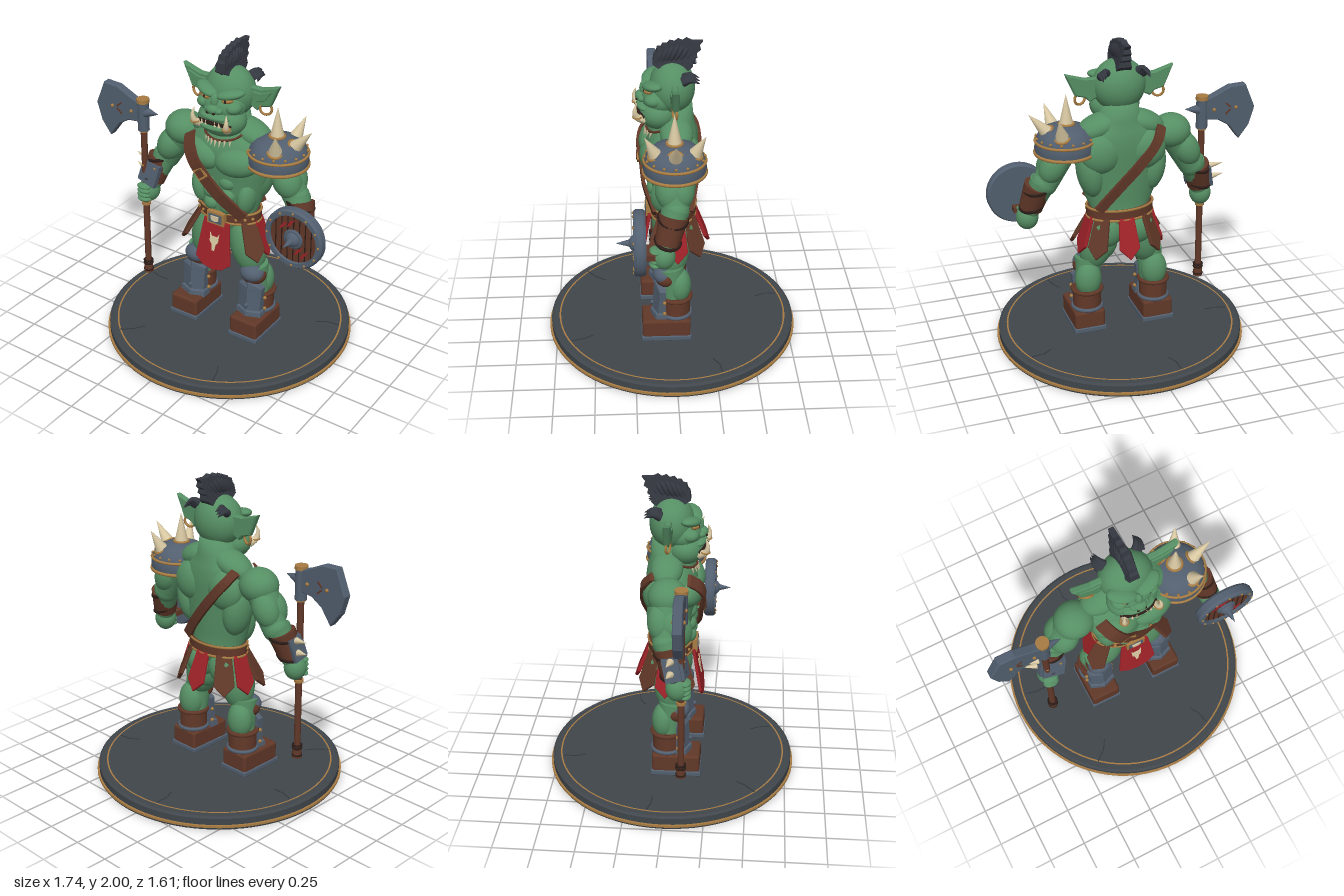
import * as THREE from 'three';
import { toCreasedNormals } from 'three/addons/utils/BufferGeometryUtils.js';
import { RoundedBoxGeometry } from 'three/addons/geometries/RoundedBoxGeometry.js';

const V = (x, y, z) => new THREE.Vector3(x, y, z);
const mat = (name, color) => Object.assign(new THREE.MeshStandardMaterial({ color }), { name });

// Closed skin over cross-sections; each ring turns right-handed about the direction of travel
function skin(rings, flat) {
  const n = rings[0].length, pos = [], idx = [];
  rings.forEach(r => r.forEach(p => pos.push(p.x, p.y, p.z)));
  for (let i = 0; i < rings.length - 1; i++) for (let j = 0; j < n; j++) {
    const a = i * n + j, b = i * n + (j + 1) % n;
    idx.push(a, b, a + n, b, b + n, a + n);
  }
  const e = (rings.length - 1) * n;
  for (let j = 1; j < n - 1; j++) idx.push(0, j + 1, j, e, e + j, e + j + 1);
  let g = new THREE.BufferGeometry();
  g.setAttribute('position', new THREE.Float32BufferAttribute(pos, 3));
  g.setIndex(idx);
  if (flat) g = g.toNonIndexed();
  g.computeVertexNormals();
  return g;
}
const shape = pts => new THREE.Shape(pts.map(p => new THREE.Vector2(...p)));
function plate(pts, depth, bevel = 0) {
  const g = new THREE.ExtrudeGeometry(shape(pts), { depth, bevelEnabled: bevel > 0, bevelSize: bevel, bevelThickness: bevel, bevelSegments: 1 });
  return g.translate(0, 0, -depth / 2);
}
// Tube that narrows to a point
function horn(pts, r) {
  const c = new THREE.CatmullRomCurve3(pts), n = 10, m = 10, g = new THREE.TubeGeometry(c, n, r, m), p = g.attributes.position;
  for (let i = 0; i <= n; i++) for (let j = 0; j <= m; j++) {
    const k = i * (m + 1) + j, v = new THREE.Vector3().fromBufferAttribute(p, k).lerp(c.getPointAt(i / n), 0.97 * (i / n) ** 1.5);
    p.setXYZ(k, v.x, v.y, v.z);
  }
  g.computeVertexNormals();
  return g;
}
// Flat strap along a path
function ribbon(pts, width, thick) {
  const c = new THREE.CatmullRomCurve3(pts), N = V(0, 0, 1), rings = [];
  for (let i = 0; i <= 14; i++) {
    const p = c.getPoint(i / 14), d = c.getTangent(i / 14).setZ(0).normalize(), S = N.clone().cross(d);
    rings.push([[1, -1], [1, 1], [-1, 1], [-1, -1]].map(([s, t]) =>
      p.clone().addScaledVector(S, s * width / 2).addScaledVector(N, t * thick / 2)));
  }
  return skin(rings, true);
}

export function createModel() {
  const green = mat('skin green', 0x568f64), slate = mat('steel', 0x525f6f), stone = mat('stone', 0x40464b),
    hair = mat('hair', 0x343840), brown = mat('leather', 0x613828), dark = mat('dark', 0x2b1c18),
    gold = mat('brass', 0xa87c42), red = mat('red cloth', 0x9e2228), ivory = mat('ivory', 0xd8c8a2);
  const root = new THREE.Group(), body = new THREE.Group();
  root.add(body); body.position.x = 0.06; body.name = 'warrior';

  const add = (name, g, m, p = [0, 0, 0], r = [0, 0, 0], s = [1, 1, 1], parent = body) => {
    const o = new THREE.Mesh(g, m);
    o.name = name; o.position.set(...p); o.rotation.set(...r); o.scale.set(...s);
    parent.add(o); return o;
  };
  const unit = new THREE.SphereGeometry(1, 24, 16), stud = new THREE.SphereGeometry(1, 8, 6);
  const ball = (name, m, p, s, r) => add(name, unit, m, p, r, s);
  const box = (name, m, p, s, r) => add(name, new THREE.BoxGeometry(...s), m, p, r);
  const dot = (name, m, p, r) => add(name, stud, m, p, [0, 0, 0], [r, r, r]);
  const ring = (name, m, p, r, tube, rot = [Math.PI / 2, 0, 0], s) => add(name, new THREE.TorusGeometry(r, tube, 8, 40), m, p, rot, s);
  const link = (name, m, a, b, r1, r2, seg = 20) => {
    const A = V(...a), B = V(...b), d = B.clone().sub(A);
    const o = add(name, new THREE.CylinderGeometry(r2, r1, d.length(), seg), m, A.clone().add(B).multiplyScalar(0.5).toArray());
    o.quaternion.setFromUnitVectors(V(0, 1, 0), d.normalize());
    return o;
  };

  // Display base with brass rims and cracks
  const disc = (name, m, r1, r2, y, h) => add(name, new THREE.CylinderGeometry(r2, r1, h, 72), m, [0, y, 0]);
  disc('baseFoot', stone, 0.795, 0.8, 0.008, 0.016);
  disc('baseRim', gold, 0.803, 0.803, 0.021, 0.014);
  disc('baseSlab', stone, 0.79, 0.79, 0.047, 0.046);
  disc('baseTop', stone, 0.79, 0.775, 0.075, 0.01);
  add('baseInlay', new THREE.RingGeometry(0.73, 0.74, 72), gold, [0, 0.082, 0], [-Math.PI / 2, 0, 0]);
  [[-.16, -.7, -.16, -.62, -.13, -.56], [.67, -.28, .59, -.27, .53, -.23], [-.71, -.1, -.64, -.08, -.57, -.08],
    [-.37, .44, -.41, .5, -.48, .56], [.26, .52, .29, .57, .31, .65]].forEach(c => {
    for (const k of [0, 2]) {
      const dx = c[k + 2] - c[k], dz = c[k + 3] - c[k + 1];
      box('crack', hair, [c[k] + dx / 2, 0.081, c[k + 1] + dz / 2], [Math.hypot(dx, dz), 0.004, 0.007], [0, -Math.atan2(dz, dx), 0]);
    }
  });

  // Torso
  const torso = [[.8, .16, .11, -.01], [.86, .19, .13, -.01], [.93, .195, .13, 0], [1, .225, .135, 0], [1.1, .25, .14, 0], [1.2, .28, .15, .005],
    [1.3, .3, .16, .005], [1.38, .28, .155, 0], [1.44, .2, .135, -.01], [1.5, .13, .12, -.01], [1.6, .11, .11, -.01]];
  add('torso', skin(torso.map(([y, rx, rz, cz]) => Array.from({ length: 40 }, (_, j) => {
    const t = j * Math.PI / 20; return V(rx * Math.sin(t), y, cz + rz * Math.cos(t));
  }))), green);

  for (const s of [-1, 1]) {
    // Muscles
    ball('pec', green, [s * .125, 1.295, .115], [.145, .095, .085], [0, s * .2, s * .12]);
    [[1.14, .06], [1.05, .058], [.97, .052]].forEach(([y, r]) => ball('abdominal', green, [s * .058, y, .115], [r, .05, .045]));
    ball('oblique', green, [s * .165, 1.04, .06], [.06, .12, .08], [0, 0, -s * .15]);
    ball('lat', green, [s * .2, 1.17, -.04], [.085, .17, .1], [0, 0, -s * .15]);
    ball('shoulderBlade', green, [s * .14, 1.3, -.09], [.13, .13, .08], [0, 0, s * .3]);
    ball('trapezius', green, [s * .14, 1.455, -.02], [.15, .075, .1], [0, 0, -s * .35]);
    ball('deltoid', green, [s * .34, 1.36, 0], [.125, .11, .12]);
    // Arms
    link('upperArm', green, [s * .36, 1.34, 0], [s * .475, 1.12, 0], .1, .08);
    ball('biceps', green, [s * .425, 1.23, .025], [.09, .12, .095], [0, 0, s * .45]);
    ball('triceps', green, [s * .43, 1.24, -.035], [.085, .12, .08], [0, 0, s * .45]);
    ball('elbow', green, [s * .48, 1.12, 0], [.083, .085, .08]);
    link('forearm', green, [s * .485, 1.13, .005], [s * .565, .92, .06], .083, .06);
    link('bracer', brown, [s * .515, 1.105, .015], [s * .558, .945, .055], .088, .074);
    ring('bracerBand', dark, [s * .518, 1.09, .018], .084, .011, [Math.PI / 2 - .2, -s * .25, 0]);
    ring('bracerBand', dark, [s * .553, .96, .05], .073, .011, [Math.PI / 2 - .2, -s * .25, 0]);
    ball('hand', green, [s * .578, .872, .075], [.07, .08, .07]);
    for (let i = 0; i < 4; i++) ball('finger', green, [s * .583, .825 + i * .03, .125], [.05, .018, .035]);
    // Legs
    ball('glute', green, [s * .1, .77, -.05], [.11, .12, .1]);
    ball('thigh', green, [s * .145, .685, .01], [.115, .21, .115], [0, 0, s * .22]);
    ball('innerThigh', green, [s * .1, .7, 0], [.085, .15, .1]);
    link('shin', green, [s * .22, .25, -.01], [s * .205, .56, .02], .07, .085);
    ball('calf', green, [s * .222, .43, -.035], [.085, .12, .075]);
    ball('kneePad', brown, [s * .212, .495, .045], [.087, .07, .075]);
    ball('kneeCap', slate, [s * .212, .512, .062], [.082, .062, .07]);
    // Boots and greaves
    add('boot', new RoundedBoxGeometry(.2, .125, .305, 3, .018), brown, [s * .23, .162, .048]);
    add('sole', new RoundedBoxGeometry(.212, .035, .318, 2, .008), slate, [s * .23, .095, .048]);
    link('bootCuff', brown, [s * .225, .21, -.015], [s * .225, .36, -.015], .092, .088);
    ring('cuffBand', brown, [s * .225, .355, -.015], .092, .014);
    ring('cuffBand', slate, [s * .225, .235, -.015], .092, .013);
    for (const y of [.27, .35]) for (const k of [-1, 1]) dot('greaveBuckle', gold, [s * .217 + k * .092, y, .06], .012);
    const gx = s * .217;
    add('greave', skin([[.215, .092, .15], [.255, .088, .145], [.262, .078, .135], [.34, .08, .13], [.425, .086, .125], [.462, .035, .12]]
      .map(([y, w, f]) => [V(gx, y, f), V(gx + w, y, f - .035), V(gx + w, y, .05), V(gx - w, y, .05), V(gx - w, y, f - .035)]), true), slate);
    dot('greaveStud', slate, [gx, .3, .135], .014);
  }

  // Belt and buckle
  add('belt', new THREE.CylinderGeometry(1, 1, .07, 48), brown, [0, .89, -.005], [0, 0, 0], [.215, 1, .145]);
  for (const y of [.858, .924]) ring('beltTrim', gold, [0, y, -.005], 1, .035, [Math.PI / 2, 0, 0], [.214, .145, .25]);
  for (let i = -4; i <= 4; i++) if (Math.abs(i) > 1) {
    const a = i * .3; dot('beltStud', gold, [Math.sin(a) * .216, .89, Math.cos(a) * .146 - .005], .011);
  }
  box('buckleFrame', gold, [0, .885, .15], [.125, .085, .03]);
  box('buckleFace', slate, [0, .885, .163], [.096, .06, .012]);
  add('buckleFang', plate([[-.03, .02], [.03, .02], [.025, -.012], [0, -.02], [-.025, -.012]], .008), ivory, [0, .885, .171]);

  // Loincloth with a skull patch
  const cloth = new THREE.Group(); cloth.name = 'loincloth'; cloth.position.set(0, .86, .145); cloth.rotation.x = -.17; body.add(cloth);
  add('clothPanel', plate([[-.09, 0], [-.125, -.27], [-.07, -.315], [0, -.33], [.07, -.315], [.125, -.27], [.09, 0]], .012, .003), red, [0, 0, 0], [0, 0, 0], [1, 1, 1], cloth);
  add('clothPatch', plate([[-.034, -.08], [-.02, -.105], [.02, -.105], [.034, -.08], [.03, -.14], [.014, -.16], [.008, -.2], [-.008, -.2], [-.014, -.16], [-.03, -.14]], .006), ivory, [0, 0, .012], [0, 0, 0], [1, 1, 1], cloth);

  // Hanging strips around the hips
  [[1.08, brown, .5], [-1.08, brown, .5], [1.66, red, .3], [-1.66, red, .3], [2.35, brown, .36], [-2.35, brown, .36], [Math.PI, red, .36]].forEach(([a, m, tilt]) => {
    const o = add('hipStrip', plate([[-.045, 0], [-.062, -.19], [0, -.255], [.062, -.19], [.045, 0]], .014, .004), m,
      [Math.sin(a) * .2, .865, Math.cos(a) * .135 - .005]);
    o.rotation.set(-tilt, a, 0, 'YXZ');
  });

  // Chest strap, front and back
  add('chestStrap', ribbon([V(-.215, 1.41, .12), V(-.175, 1.35, .185), V(-.12, 1.265, .208), V(-.06, 1.17, .192), V(.05, 1.055, .175), V(.175, .925, .115)], .085, .02), brown);
  box('strapBuckle', gold, [-.08, 1.2, .207], [.075, .075, .014], [0, 0, .7]);
  box('strapBuckleFace', brown, [-.08, 1.2, .212], [.05, .05, .014], [0, 0, .7]);
  add('backStrap', ribbon([V(-.24, 1.44, -.1), V(-.2, 1.37, -.155), V(-.1, 1.25, -.175), V(.05, 1.08, -.15), V(.17, .93, -.11)], .06, .025), brown);

  // Head
  ball('cranium', green, [0, 1.7, 0], [.165, .165, .138]);
  ball('jaw', green, [0, 1.55, .085], [.158, .11, .122]);
  ball('face', green, [0, 1.64, .07], [.145, .1, .115]);
  ball('noseBridge', green, [0, 1.69, .165], [.026, .05, .03]);
  ball('nose', green, [0, 1.645, .188], [.045, .03, .034]);
  ball('upperLip', green, [0, 1.592, .165], [.105, .026, .05]);
  ball('lowerLip', green, [0, 1.527, .16], [.115, .026, .06]);
  add('mouth', new THREE.TubeGeometry(new THREE.CatmullRomCurve3([V(-.115, 1.545, .165), V(-.06, 1.562, .2), V(0, 1.565, .21), V(.06, 1.562, .2), V(.115, 1.545, .165)]), 16, .012, 8), dark);
  for (const x of [-.06, -.032, .032, .06]) link('tooth', ivory, [x, 1.552, .212], [x, 1.582, .216], .009, .001, 8);
  for (const s of [-1, 1]) {
    ball('brow', green, [s * .082, 1.735, .12], [.09, .03, .055], [0, s * .4, s * .2]);
    ball('cheek', green, [s * .1, 1.652, .115], [.05, .04, .055]);
    ball('eye', gold, [s * .076, 1.703, .145], [.037, .018, .026], [0, s * .35, s * .1]);
    ball('pupil', dark, [s * .074, 1.703, .168], [.008, .011, .006]);
    ball('nostrilWing', green, [s * .038, 1.638, .18], [.024, .02, .026]);
    ball('nostril', dark, [s * .022, 1.63, .212], [.01, .008, .008]);
    add('tusk', horn([V(s * .092, 1.525, .17), V(s * .112, 1.555, .215), V(s * .12, 1.6, .225), V(s * .112, 1.645, .212)], .026), ivory);
    ring('tuskBand', gold, [s * .112, 1.552, .212], .024, .005, [Math.PI / 2, 0, s * .2]);
    add('ear', plate([[.14, 1.755], [.22, 1.755], [.333, 1.792], [.3, 1.725], [.275, 1.668], [.215, 1.652], [.19, 1.625], [.14, 1.65]].map(([x, y]) => [s * x, y]), .025, .008), green, [0, 0, -.01]);
    add('earHollow', plate([[.17, 1.735], [.22, 1.733], [.295, 1.762], [.25, 1.7], [.2, 1.68]].map(([x, y]) => [s * x, y]), .01, .004), green, [0, 0, .01]);
    ring('earring', gold, [s * .248, 1.637, -.005], .036, .008, [0, s * .3, 0]);
    for (let i = 0; i < 3; i++) add('sideTuft', horn([V(s * (.09 + i * .02), 1.79 - i * .006, -.06), V(s * (.12 + i * .012), 1.82 - i * .012, -.1), V(s * (.125 + i * .01), 1.805 - i * .015, -.155)], .026), hair);
  }
  // Mohawk, thinner toward its top and ends
  let crest = plate([[.07, 1.82], [.115, 1.85], [.108, 1.905], [.095, 1.918], [.088, 1.948], [.066, 1.947], [.055, 1.968], [.03, 1.965], [.012, 1.985], [-.016, 1.977], [-.035, 1.995], [-.062, 1.983],
    [-.085, 2], [-.115, 1.985], [-.18, 1.985], [-.158, 1.96], [-.168, 1.935], [-.14, 1.915], [-.147, 1.89], [-.118, 1.872], [-.122, 1.84], [-.09, 1.81], [0, 1.82]], .1).rotateY(-Math.PI / 2);
  const cp = crest.attributes.position;
  for (let i = 0; i < cp.count; i++) {
    const y = cp.getY(i), z = cp.getZ(i);
    cp.setX(i, cp.getX(i) * (1 - 3.4 * Math.max(0, y - 1.82)) * (1 - 12 * (z + .03) ** 2));
  }
  crest.computeVertexNormals();
  add('mohawk', crest, hair);
  for (let i = 0; i < 7; i++) ball('mohawkTuft', hair, [0, 1.895 + .02 * Math.sin(i / 2), .075 - i * .028], [.046 - .004 * Math.abs(i - 3), .068, .022], [-.35 - .04 * i, 0, 0]);

  // Fang necklace
  add('necklaceCord', new THREE.TubeGeometry(new THREE.CatmullRomCurve3([V(-.15, 1.48, .04), V(-.1, 1.445, .12), V(0, 1.43, .155), V(.1, 1.445, .12), V(.15, 1.48, .04)]), 24, .008, 6), brown);
  for (let i = -3; i <= 3; i++) {
    const y = 1.43 + .0012 * i * i, z = .158 - .0035 * i * i;
    link('fang', ivory, [i * .028, y, z], [i * .029, y - .04, z + .014], .01, .001, 8);
  }

  // Spiked shoulder guard
  const px = .343;
  add('shoulderGuard', new THREE.LatheGeometry([[.18, 1.3], [.188, 1.34], [.182, 1.385], [.165, 1.425], [.13, 1.46], [.07, 1.482], [0, 1.488]].map(p => new THREE.Vector2(...p)), 40), slate, [px, 0, 0]);
  add('guardLining', new THREE.CircleGeometry(.18, 40), dark, [px, 1.302, 0], [Math.PI / 2, 0, 0]);
  ring('guardTrim', gold, [px, 1.312, 0], .184, .011);
  ring('guardTrim', gold, [px, 1.387, 0], .182, .009);
  for (let i = 0; i < 16; i++) { const a = i * Math.PI / 8; dot('guardStud', gold, [px + Math.sin(a) * .176, 1.41, Math.cos(a) * .176], .009); }
  [[[.333, 1.475, 0], [.333, 1.67, 0]], [[.45, 1.44, 0], [.565, 1.57, 0]], [[.39, 1.435, .11], [.425, 1.57, .175]], [[.39, 1.435, -.11], [.425, 1.57, -.175]]].forEach(([a, b]) => {
    link('guardSpike', ivory, a, b, .046, .001, 16);
    const k = V(...a).lerp(V(...b), .06), o = ring('spikeCollar', gold, k.toArray(), .045, .009);
    o.quaternion.setFromUnitVectors(V(0, 0, 1), V(...b).sub(V(...a)).normalize());
  });

  // Right bracer plate and spikes
  box('bracerPlate', slate, [-.545, 1.015, .105], [.14, .155, .035], [-.22, -.1, -.22]);
  box('bracerPlateSide', slate, [-.613, 1.015, .045], [.03, .15, .1], [-.22, 0, -.22]);
  for (const [x, y] of [[-.6, 1.065], [-.62, .99]]) link('bracerSpike', ivory, [x, y, .04], [-.71, y + .02, .02], .026, .001, 12);
  for (const k of [-1, 1]) dot('bracerRivet', gold, [-.545 + k * .045, 1.06, .117], .009);

  // Axe
  const ax = -.588, az = .1;
  link('axeShaft', brown, [ax, .27, az], [ax, 1.5, az], .021, .021);
  link('axePommel', brown, [ax, .25, az], [ax, .31, az], .032, .028);
  for (const y of [.268, .315, .335]) ring('pommelBand', dark, [ax, y, az], .027, .007);
  for (const y of [.77, 1.3]) link('shaftBand', gold, [ax, y, az], [ax, y + .018, az], .03, .03);
  link('axeSocket', slate, [ax, 1.31, az], [ax, 1.5, az], .037, .037);
  link('axeCap', gold, [ax, 1.5, az], [ax, 1.525, az], .041, .041);
  add('axeBlade', plate([[-.6, 1.495], [-.655, 1.515], [-.77, 1.568], [-.87, 1.572], [-.934, 1.42], [-.9, 1.305], [-.838, 1.222], [-.77, 1.315], [-.69, 1.365], [-.6, 1.375]], .045, .006), slate, [0, 0, az]);
  link('axeSpike', slate, [ax + .02, 1.435, az], [-.475, 1.445, az], .035, .002, 8);
  for (const k of [-1, 1]) {
    for (const x of [-.81, -.66]) dot('bladeRivet', gold, [x, 1.43, az + k * .03], .012);
    box('bladeNotch', brown, [-.755, 1.452, az + k * .03], [.045, .01, .006], [0, 0, .7]);
    box('bladeNotch', brown, [-.755, 1.408, az + k * .03], [.045, .01, .006], [0, 0, -.7]);
  }

  // Round shield
  const sx = .603, sy = .985, sz = .215;
  const shield = new THREE.LatheGeometry([[0, -.035], [.185, -.035], [.195, -.02], [.195, .02], [.185, .035], [.158, .035], [.154, .015], [0, .015]].map(p => new THREE.Vector2(...p)), 48);
  add('shieldRim', toCreasedNormals(shield.rotateX(Math.PI / 2), .5), slate, [sx, sy, sz]);
  add('shieldBoards', new THREE.CircleGeometry(.155, 48), brown, [sx, sy, sz + .019]);
  for (let i = -3; i <= 3; i++) {
    const x = i * .04; box('boardGap', dark, [sx + x, sy, sz + .02], [.006, 2 * Math.sqrt(.153 ** 2 - x * x), .004]);
  }
  [[-.07, .075], [-.02, .1], [.035, -.075], [.075, -.09]].forEach(([x, y]) => add('paintSlash', plate([[-.02, -.04], [.004, -.012], [.022, .04], [-.006, .012]], .005), red, [sx + x, sy + y, sz + .024], [0, 0, -.25]));
  ring('bossRing', slate, [sx, sy, sz + .022], .052, .012, [0, 0, 0]);
  ball('shieldBoss', slate, [sx, sy, sz + .02], [.05, .05, .045]);
  link('bossSpike', slate, [sx, sy, sz + .05], [sx, sy, .35], .024, .001, 12);
  for (let i = 0; i < 12; i++) { const a = i * Math.PI / 6; dot('rimRivet', gold, [sx + Math.sin(a) * .175, sy + Math.cos(a) * .175, sz + .035], .008); }
  box('shieldGrip', brown, [sx - .02, .9, .155], [.13, .035, .06]);
  return root;
}
